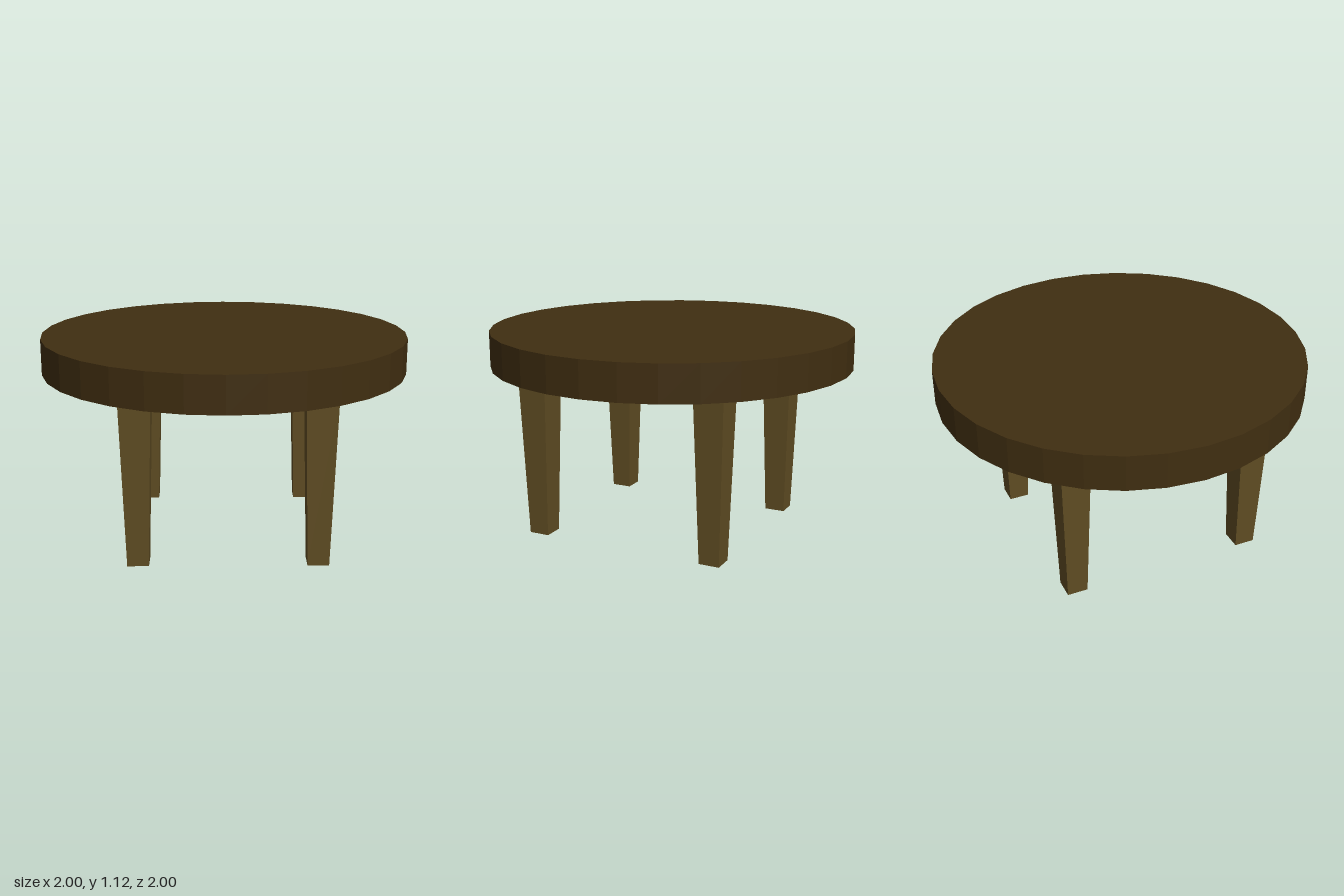
import * as THREE from 'three';

export function createModel() {
  const table = new THREE.Group();
  table.name = 'roundTable';

  const darkWood = new THREE.MeshStandardMaterial({ color: 0x402e11, flatShading: true });
  darkWood.name = 'darkWood';
  const lightWood = new THREE.MeshStandardMaterial({ color: 0x604d23, flatShading: true });
  lightWood.name = 'lightWood';

  const underside = 0.93;
  const thickness = 0.195;

  // Round faceted table top
  const top = new THREE.Mesh(new THREE.CylinderGeometry(1, 1, thickness, 32), darkWood);
  top.name = 'tableTop';
  top.position.y = underside + thickness / 2;
  table.add(top);

  // Square leg, narrowing toward the floor
  const topWidth = 0.168, footWidth = 0.114;
  const legGeometry = new THREE.BoxGeometry(1, underside, 1);
  legGeometry.translate(0, underside / 2, 0);
  const p = legGeometry.attributes.position;
  for (let i = 0; i < p.count; i++) {
    const width = p.getY(i) > underside / 2 ? topWidth : footWidth;
    p.setX(i, p.getX(i) * width);
    p.setZ(i, p.getZ(i) * width);
  }
  legGeometry.computeVertexNormals();

  // Four legs, set slightly off centre
  for (const [side, x] of [['Right', -0.456], ['Left', 0.491]]) {
    for (const [end, z] of [['front', 0.557], ['back', -0.479]]) {
      const leg = new THREE.Mesh(legGeometry, lightWood);
      leg.name = `${end}${side}Leg`;
      leg.position.set(x, 0, z);
      table.add(leg);
    }
  }

  return table;
}
